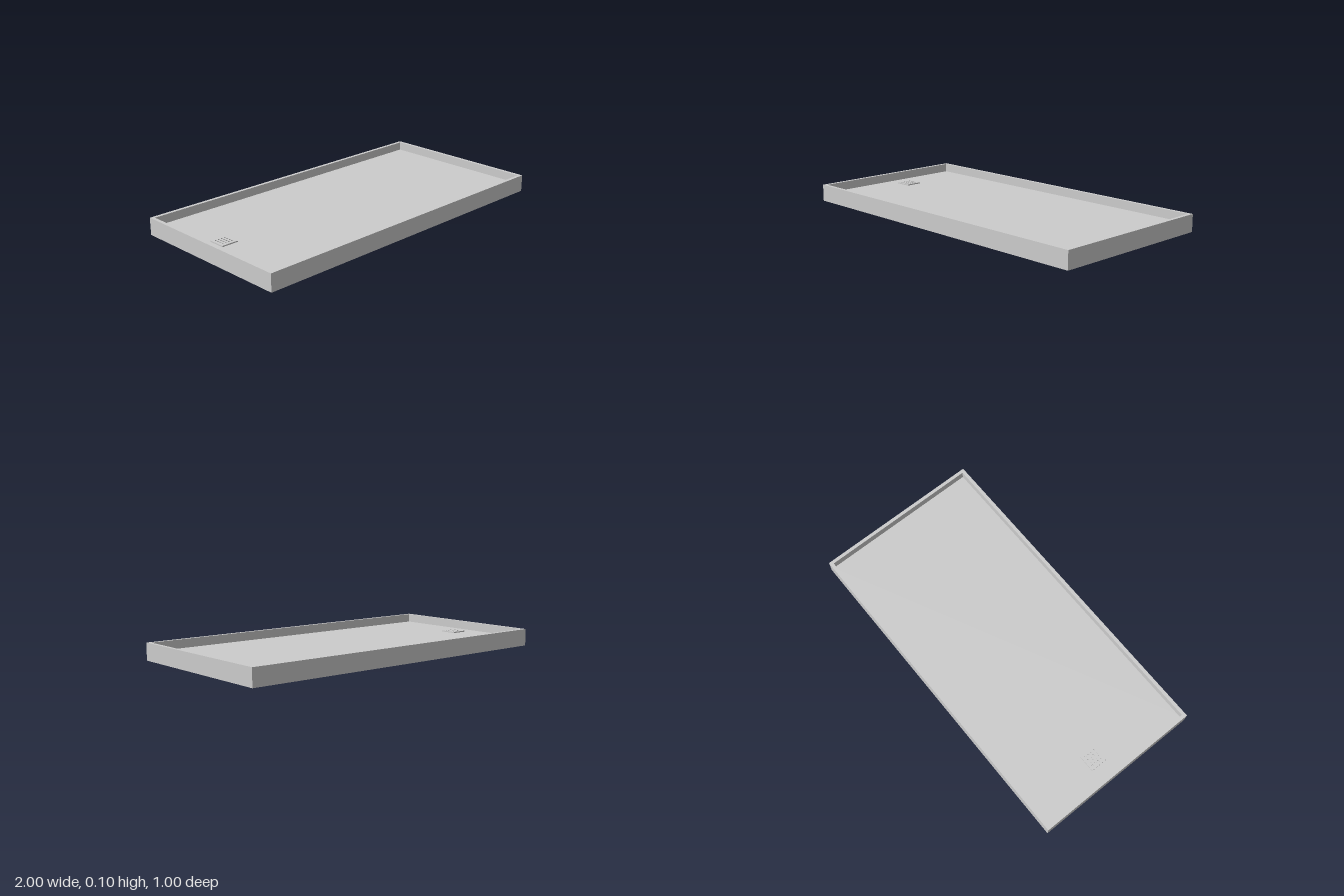
import * as THREE from 'three';

const material = new THREE.MeshStandardMaterial({ color: 0xcccccc, flatShading: true });

// Rectangle path centred on the origin
function rect(PathType, w, d) {
  const p = new PathType();
  p.moveTo(-w / 2, -d / 2);
  p.lineTo(w / 2, -d / 2);
  p.lineTo(w / 2, d / 2);
  p.lineTo(-w / 2, d / 2);
  p.closePath();
  return p;
}

// Flat plate with holes, lying on its local y = 0
function plate(name, shape, height) {
  const geo = new THREE.ExtrudeGeometry(shape, { depth: height, bevelEnabled: false, curveSegments: 12 });
  geo.rotateX(-Math.PI / 2);
  const mesh = new THREE.Mesh(geo, material);
  mesh.name = name;
  return mesh;
}

export function createModel() {
  const group = new THREE.Group();
  group.name = 'showerTray';
  const floorY = 0.05, rimTop = 0.1, rim = 0.02;

  // Solid tray base
  group.add(plate('trayFloor', rect(THREE.Shape, 2, 1), floorY));

  // Raised rim around the edge
  const rimShape = rect(THREE.Shape, 2, 1);
  rimShape.holes.push(rect(THREE.Path, 2 - 2 * rim, 1 - 2 * rim));
  const rimMesh = plate('trayRim', rimShape, rimTop - floorY);
  rimMesh.position.y = floorY;
  group.add(rimMesh);

  // Square drain cover with a grid of round holes
  const drainShape = rect(THREE.Shape, 0.1, 0.1);
  const count = 4, pitch = 0.02;
  for (let i = 0; i < count; i++) {
    for (let j = 0; j < count; j++) {
      const hole = new THREE.Path();
      hole.absarc((i - 1.5) * pitch, (j - 1.5) * pitch, 0.006, 0, Math.PI * 2, true);
      drainShape.holes.push(hole);
    }
  }
  const drain = plate('drainCover', drainShape, 0.007);
  drain.position.set(-0.85, floorY, -0.05);
  group.add(drain);

  return group;
}
